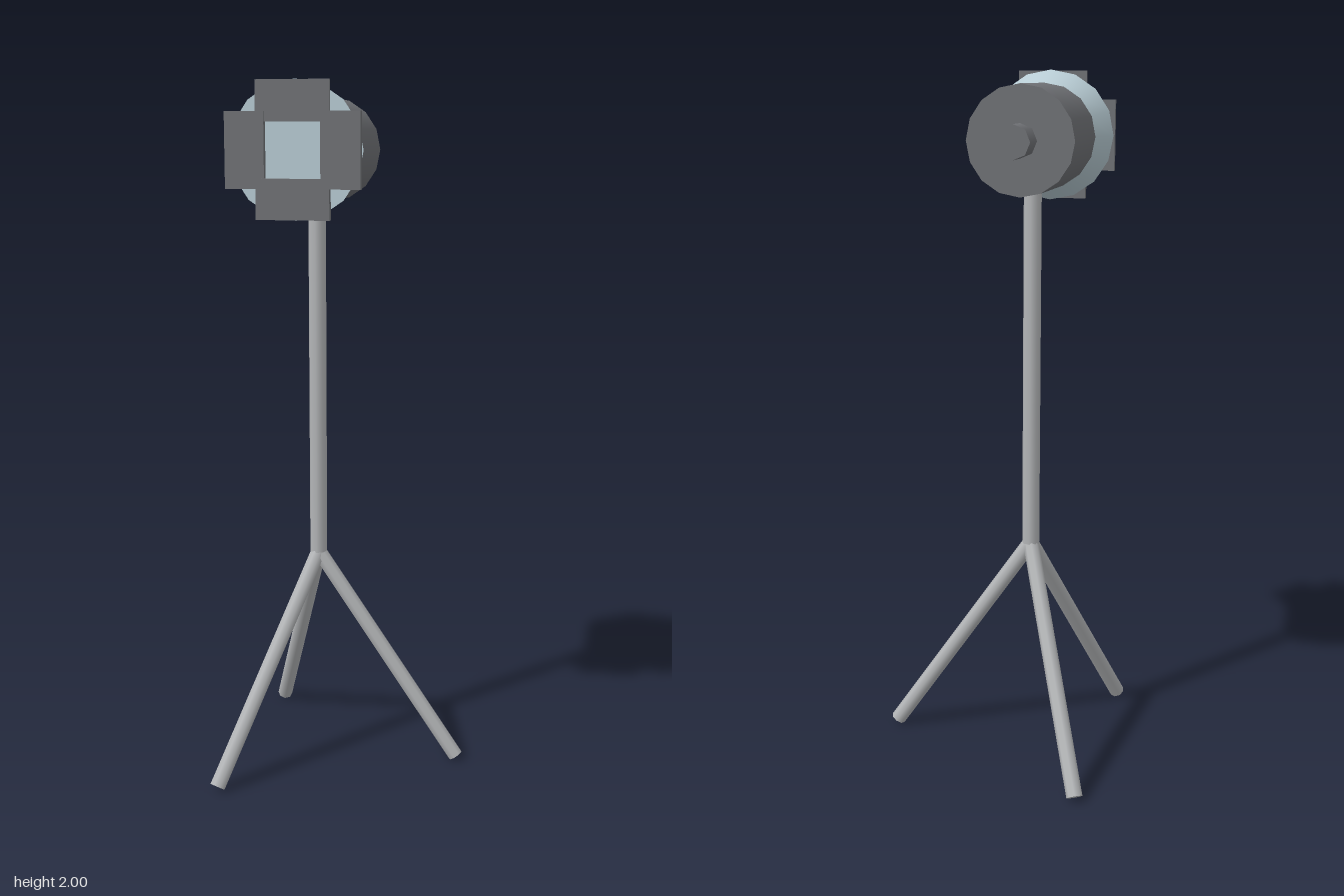
import * as THREE from 'three';

const AXIS_X = -0.105; // pole and lamp centre line
const LAMP_Y = 1.815;

export function createModel() {
  const model = new THREE.Group();
  model.name = 'studioLampOnTripod';

  const metal = new THREE.MeshStandardMaterial({ color: 0xb4b6b8 });
  const dark = new THREE.MeshStandardMaterial({ color: 0x707276 });
  const pale = new THREE.MeshStandardMaterial({ color: 0xb8ccd4 });

  const add = (parent, name, geometry, material) => {
    const mesh = new THREE.Mesh(geometry, material);
    mesh.name = name;
    parent.add(mesh);
    return mesh;
  };

  // Straight rod between two points
  const rod = (name, from, to, radius) => {
    const dir = to.clone().sub(from);
    const mesh = add(model, name, new THREE.CylinderGeometry(radius, radius, dir.length(), 8), metal);
    mesh.position.copy(from).add(to).multiplyScalar(0.5);
    mesh.quaternion.setFromUnitVectors(new THREE.Vector3(0, 1, 0), dir.normalize());
  };

  // Stand: upright pole and three splayed legs
  const hub = new THREE.Vector3(AXIS_X, 0.63, 0);
  rod('pole', hub, new THREE.Vector3(AXIS_X, 1.69, 0), 0.026);
  for (let i = 0; i < 3; i++) {
    const a = (i * Math.PI * 2) / 3;
    const foot = new THREE.Vector3(AXIS_X + 0.424 * Math.cos(a), 0.013, 0.424 * Math.sin(a));
    rod('leg' + (i + 1), hub, foot, 0.023);
  }

  // Lamp head, built around its own z axis
  const head = new THREE.Group();
  head.name = 'lampHead';
  head.position.set(AXIS_X, LAMP_Y, 0);
  model.add(head);

  const drum = (name, zBack, zFront, rBack, rFront, sides, material) => {
    const geometry = new THREE.CylinderGeometry(rFront, rBack, zFront - zBack, sides);
    geometry.rotateX(Math.PI / 2);
    geometry.translate(0, 0, (zFront + zBack) / 2);
    add(head, name, geometry, material);
  };
  drum('housing', -0.162, 0.145, 0.151, 0.151, 16, dark);
  drum('rearKnob', -0.246, -0.16, 0.047, 0.047, 8, dark);
  drum('reflector', 0.14, 0.235, 0.15, 0.188, 16, pale);

  // Four shutter flaps framing the light opening
  const flap = (name, w, h, depth, x, y) => {
    add(head, name, new THREE.BoxGeometry(w, h, depth), dark).position.set(x, y, 0.264);
  };
  flap('topFlap', 0.205, 0.11, 0.008, 0, 0.13);
  flap('bottomFlap', 0.205, 0.11, 0.017, 0, -0.13);
  for (const side of [-1, 1]) {
    flap(side > 0 ? 'leftFlap' : 'rightFlap', 0.11, 0.205, 0.016, side * 0.133, 0);
  }

  return model;
}
